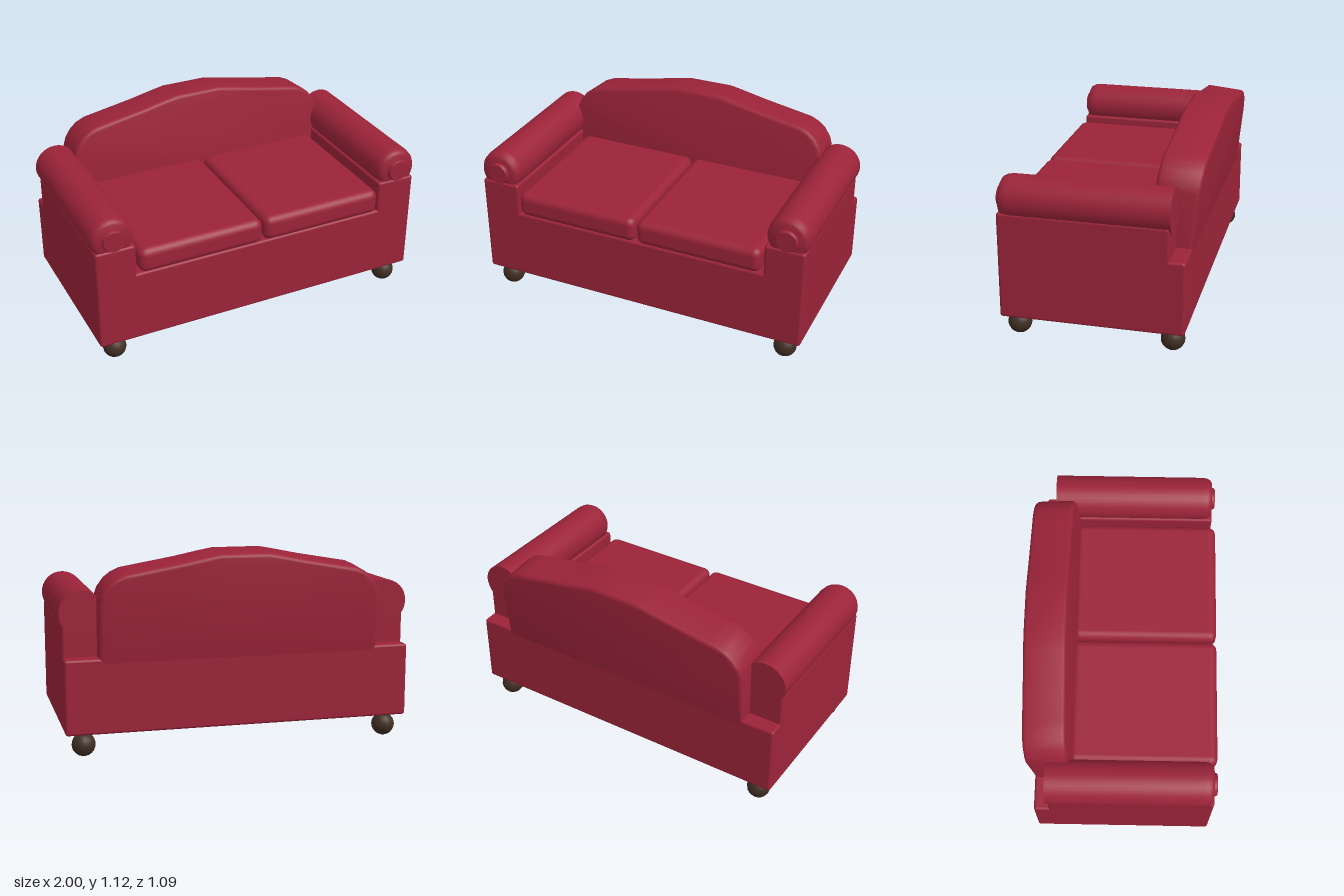
import * as THREE from 'three';
import { toCreasedNormals } from 'three/addons/utils/BufferGeometryUtils.js';
import { RoundedBoxGeometry } from 'three/addons/geometries/RoundedBoxGeometry.js';

const fabric = new THREE.MeshStandardMaterial({ name: 'red fabric', color: 0x9b2339 });
const wood = new THREE.MeshStandardMaterial({ name: 'dark wood', color: 0x3f2e22 });

export function createModel() {
  const sofa = new THREE.Group();
  sofa.name = 'sofa';

  const add = (name, geometry, material = fabric) => {
    const mesh = new THREE.Mesh(geometry, material);
    mesh.name = name;
    sofa.add(mesh);
    return mesh;
  };

  // Rounded box given by its extents on each axis
  const box = (name, [x0, x1], [y0, y1], [z0, z1], radius) =>
    add(name, new RoundedBoxGeometry(x1 - x0, y1 - y0, z1 - z0, 3, radius))
      .position.set((x0 + x1) / 2, (y0 + y1) / 2, (z0 + z1) / 2);

  // Turned part lying along z; profile points are [radius, z]
  const turned = (name, profile, x, y) => {
    const points = profile.map(([r, z]) => new THREE.Vector2(r, z));
    const geometry = new THREE.LatheGeometry(points, 32).rotateX(Math.PI / 2);
    add(name, toCreasedNormals(geometry, 0.7)).position.set(x, y, 0);
  };

  box('base', [-0.985, 0.985], [0.137, 0.555], [-0.49, 0.52], 0.015);

  for (const [side, s] of [['left', 1], ['right', -1]]) {
    const span = (a, b) => (s > 0 ? [a, b] : [-b, -a]);

    // Arm with its rolled top and round front button
    box(side + 'ArmPanel', span(0.755, 0.985), [0.3, 0.738], [-0.405, 0.52], 0.015);
    turned(side + 'ArmRoll', [[0, -0.412], [0.123, -0.412], [0.123, 0.455],
      [0.119, 0.485], [0.108, 0.505], [0.095, 0.512], [0, 0.512]], s * 0.877, 0.797);
    turned(side + 'ArmButton', [[0, 0.5], [0.064, 0.5], [0.064, 0.522],
      [0.058, 0.531], [0, 0.531]], s * 0.877, 0.797);

    box(side + 'SeatCushion', span(0.005, 0.742), [0.558, 0.706], [-0.3, 0.545], 0.045);

    // Ball feet
    for (const [end, z] of [['Front', 0.442], ['Back', -0.411]]) {
      add(side + end + 'Foot', new THREE.SphereGeometry(0.066, 16, 12), wood)
        .position.set(s * 0.88, 0.07, z);
    }
  }

  // Humped backrest, bevelled and leaning back
  const bevel = 0.022;
  const half = [[0.795, 0], [0.795, 0.33], [0.782, 0.385], [0.75, 0.43], [0.715, 0.458],
    [0.67, 0.478], [0.6, 0.494], [0.36, 0.536], [0.22, 0.565], [0.14, 0.58]];
  const inset = half.map(([x, y], i) =>
    new THREE.Vector2(x - (i < 6 ? bevel : bevel * 0.3), y - (i < 2 ? 0 : i < 6 ? bevel * 0.7 : bevel)));
  const mirrored = inset.map((p) => new THREE.Vector2(-p.x, p.y)).reverse();
  const backGeometry = new THREE.ExtrudeGeometry(new THREE.Shape([...inset, ...mirrored]), {
    depth: 0.236 - bevel * 2, bevelSize: bevel, bevelThickness: bevel, bevelSegments: 3,
  }).translate(0, 0, bevel - 0.236);
  const backrest = add('backrest', toCreasedNormals(backGeometry, 0.6));
  backrest.position.set(0, 0.55, -0.255);
  backrest.rotation.x = -0.1;

  return sofa;
}
